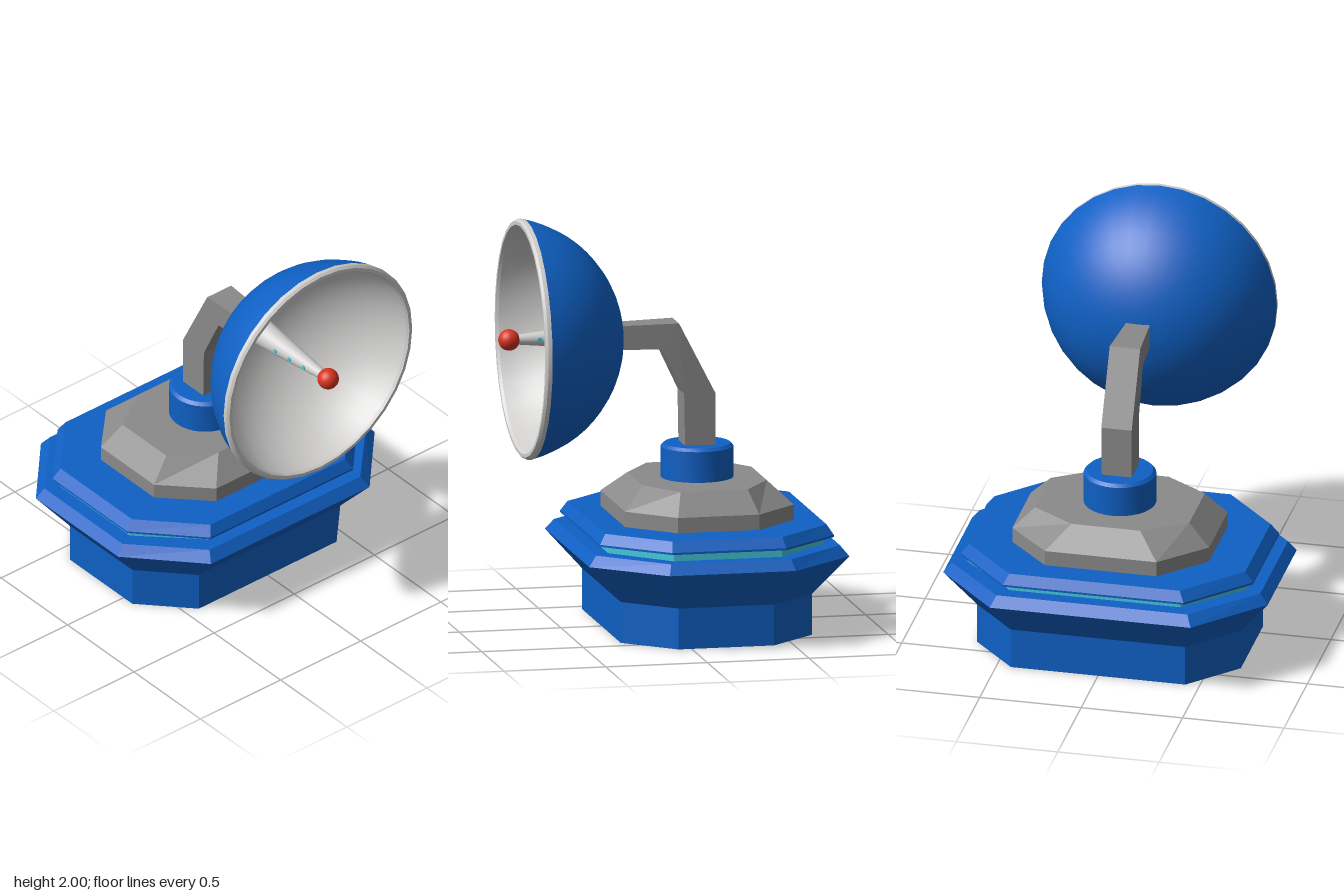
import * as THREE from 'three';
import { toCreasedNormals } from 'three/addons/utils/BufferGeometryUtils.js';

const BASE_X = -0.17; // centre of the pedestal
const DISH_Y = 1.42; // height of the dish axis

const material = (name, color, extra = {}) => {
  const m = new THREE.MeshStandardMaterial({ color, ...extra });
  m.name = name;
  return m;
};

// Stacked elongated octagons; each level is [y, halfX, halfZ, cornerX, cornerZ]
function octagonLoft(levels) {
  const rings = levels.map(([y, hx, hz, cx, cz]) => [
    [hx, y, cz], [hx, y, -cz], [cx, y, -hz], [-cx, y, -hz],
    [-hx, y, -cz], [-hx, y, cz], [-cx, y, hz], [cx, y, hz],
  ]);
  const pos = [];
  for (let r = 0; r < rings.length - 1; r++) {
    for (let i = 0; i < 8; i++) {
      const j = (i + 1) % 8;
      const [a, b, c, d] = [rings[r][i], rings[r][j], rings[r + 1][j], rings[r + 1][i]];
      pos.push(...a, ...b, ...c, ...a, ...c, ...d);
    }
  }
  const g = new THREE.BufferGeometry();
  g.setAttribute('position', new THREE.Float32BufferAttribute(pos, 3));
  g.computeVertexNormals();
  return g;
}

// Lathe of [radius, height] points
const lathe = (points, segments = 32) =>
  new THREE.LatheGeometry(points.map(([r, y]) => new THREE.Vector2(r, y)), segments);

// Bowl profile from the apex to the rim, on a sphere of radius R
function bowlProfile(R, apex, rimX, steps = 14) {
  const end = Math.acos((R - (rimX - apex)) / R);
  return Array.from({ length: steps + 1 }, (_, i) => {
    const a = (end * i) / steps;
    return [R * Math.sin(a), apex + R * (1 - Math.cos(a))];
  });
}

export function createModel() {
  const model = new THREE.Group();
  model.name = 'dishStation';

  const blue = material('blue', 0x0f60c4);
  const blueFlat = material('blueFaceted', 0x0f60c4, { flatShading: true });
  const grey = material('grey', 0x8a8a8a, { flatShading: true });
  const light = material('lightGrey', 0xd0cfce);
  const cyan = material('cyan', 0x45cbe0);
  const red = material('red', 0xd83420);
  const dark = material('dark', 0x2b2927);

  const add = (parent, name, geometry, mat) => {
    const mesh = new THREE.Mesh(geometry, mat);
    mesh.name = name;
    parent.add(mesh);
    return mesh;
  };

  // Pedestal
  const base = new THREE.Group();
  base.name = 'base';
  base.position.x = BASE_X;
  model.add(base);

  add(base, 'underside', octagonLoft([
    [0, 0, 0, 0, 0], [0, 0.47, 0.65, 0.235, 0.43],
  ]), dark);
  add(base, 'lowerBase', octagonLoft([
    [0, 0.47, 0.65, 0.235, 0.43], [0.2, 0.47, 0.65, 0.235, 0.43],
    [0.39, 0.64, 0.8, 0.31, 0.495], [0.44, 0.6, 0.76, 0.295, 0.47],
    [0.44, 0, 0, 0, 0],
  ]), blueFlat);
  add(base, 'lightBand', octagonLoft([
    [0.44, 0.53, 0.69, 0.265, 0.42], [0.48, 0.53, 0.69, 0.265, 0.42],
  ]), cyan);
  add(base, 'upperBase', octagonLoft([
    [0.477, 0.5, 0.65, 0.25, 0.4], [0.477, 0.575, 0.72, 0.28, 0.445],
    [0.487, 0.575, 0.72, 0.28, 0.445], [0.535, 0.545, 0.68, 0.27, 0.42],
    [0.535, 0, 0, 0, 0],
  ]), blueFlat);
  add(base, 'turntable', octagonLoft([
    [0.535, 0.415, 0.485, 0.2, 0.275], [0.61, 0.415, 0.485, 0.2, 0.275],
    [0.715, 0.305, 0.38, 0.165, 0.17], [0.715, 0, 0, 0, 0],
  ]), grey);
  add(base, 'swivel', toCreasedNormals(lathe([
    [0.175, 0.71], [0.175, 0.865], [0.16, 0.88], [0, 0.88],
  ]), 0.5), blue);

  // Bent arm, narrowing toward the dish
  const outline = new THREE.Shape([
    [-0.245, 0.86], [-0.095, 0.86], [-0.09, 1.135], [0.015, 1.355],
    [0.24, 1.36], [0.24, 1.475], [-0.065, 1.48], [-0.245, 1.13],
  ].map(([x, y]) => new THREE.Vector2(x, y)));
  const armGeometry = new THREE.ExtrudeGeometry(outline, { depth: 0.15, bevelEnabled: false });
  armGeometry.translate(0, 0, -0.075);
  const p = armGeometry.attributes.position;
  for (let i = 0; i < p.count; i++) {
    const t = THREE.MathUtils.clamp((p.getX(i) + 0.065) / 0.305, 0, 1);
    p.setZ(i, p.getZ(i) * (1 - 0.24 * t));
  }
  armGeometry.computeVertexNormals();
  add(model, 'arm', armGeometry, grey);

  // Dish: lathed along y, then turned so its axis points to +x
  const dish = new THREE.Group();
  dish.name = 'dish';
  dish.position.y = DISH_Y;
  dish.rotation.z = -Math.PI / 2;
  model.add(dish);

  add(dish, 'dishShell', lathe(bowlProfile(0.594, 0.205, 0.67)), blue);
  add(dish, 'dishInside', lathe(bowlProfile(0.562, 0.225, 0.69).reverse()), light);
  add(dish, 'dishRim', toCreasedNormals(lathe([
    [0.58, 0.668], [0.58, 0.688], [0.57, 0.7], [0.553, 0.7], [0.546, 0.686],
  ]), 0.4), light);

  // Feed horn with its tip
  const hornRadius = (x) => 0.07 - (0.048 * (x - 0.225)) / 0.515;
  add(dish, 'feedHorn', lathe([[0.07, 0.225], [0.022, 0.74]], 24), light);
  const tip = add(dish, 'feedTip', new THREE.SphereGeometry(0.052, 24, 16), red);
  tip.position.y = 0.755;

  // Small lights along both sides of the horn
  for (const side of [-1, 1]) {
    for (const x of [0.42, 0.515, 0.61]) {
      const dot = add(dish, 'hornLight', new THREE.CylinderGeometry(0.011, 0.011, 0.008, 12), cyan);
      dot.rotation.x = (side * Math.PI) / 2;
      dot.position.set(0, x, side * hornRadius(x));
    }
  }
  return model;
}
